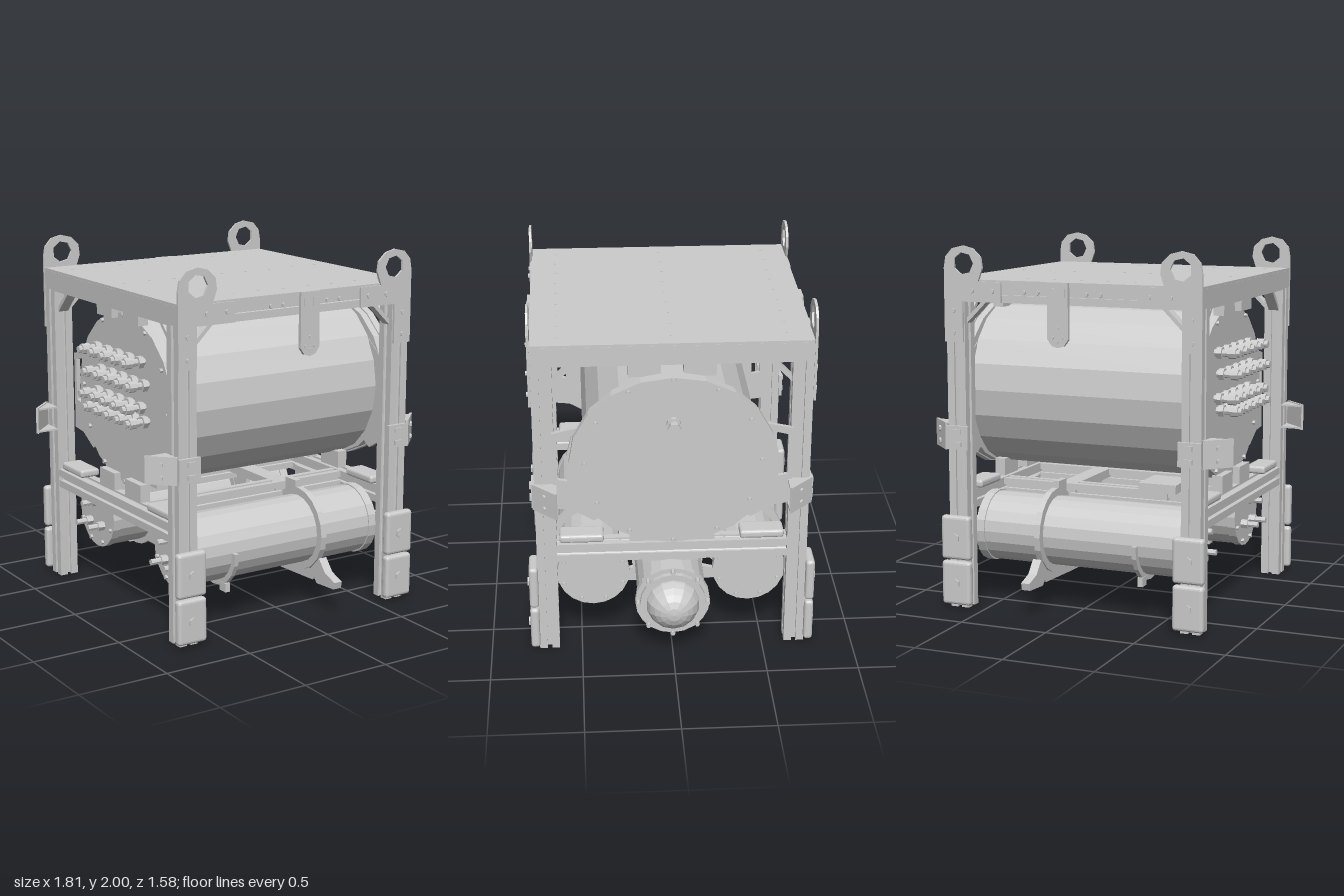
import * as THREE from 'three';
import { RoundedBoxGeometry } from 'three/addons/geometries/RoundedBoxGeometry.js';

const CX = -0.03; // middle of the frame in x
const mat = new THREE.MeshStandardMaterial({ color: 0xcccccc, flatShading: true, side: THREE.DoubleSide });

export function createModel() {
  const root = new THREE.Group();
  const add = (name, geo, x = 0, y = 0, z = 0) => {
    const m = new THREE.Mesh(geo, mat);
    m.name = name;
    m.position.set(x, y, z);
    root.add(m);
    return m;
  };
  const box = (name, w, h, d, x, y, z) => add(name, new THREE.BoxGeometry(w, h, d), x, y, z);
  // cylinder lying along x, between x0 and x1
  const rod = (name, r, x0, x1, y, z, n = 20) =>
    add(name, new THREE.CylinderGeometry(r, r, x1 - x0, n).rotateZ(-Math.PI / 2), (x0 + x1) / 2, y, z);
  // small bolt head pointing along z
  const boltZ = (x, y, z, r = 0.013) => add('bolt', new THREE.CylinderGeometry(r, r, 0.014, 6).rotateX(Math.PI / 2), x, y, z);
  const poly = pts => pts.map(p => new THREE.Vector2(p[0], p[1]));
  const circle = (x, y, r, n) => Array.from({ length: n }, (_, i) =>
    [x + r * Math.cos(i / n * 2 * Math.PI), y + r * Math.sin(i / n * 2 * Math.PI)]);
  const plate = (pts, depth, holes = []) => {
    const s = new THREE.Shape(poly(pts));
    holes.forEach(h => s.holes.push(new THREE.Path(poly(h))));
    return new THREE.ExtrudeGeometry(s, { depth, bevelEnabled: false }).translate(0, 0, -depth / 2);
  };
  // plate drawn in (z, y), standing across x
  const crossPlate = (...a) => plate(...a).rotateY(-Math.PI / 2);

  // slotted profile bar: square section with one undercut groove per side
  const bar = (length, size) => {
    const h = size / 2, pts = [];
    const side = [[-1, 1], [-0.22, 1], [-0.22, 0.8], [-0.5, 0.8], [-0.25, 0.45], [0.25, 0.45], [0.5, 0.8], [0.22, 0.8], [0.22, 1]];
    for (let k = 0; k < 4; k++) {
      const a = -k * Math.PI / 2, c = Math.cos(a), s = Math.sin(a);
      side.forEach(([x, y]) => pts.push([(x * c - y * s) * h, (x * s + y * c) * h]));
    }
    return plate(pts.reverse(), length);
  };

  // ---- frame ----
  box('topPlate', 1.47, 0.02, 1.48, CX, 1.81, 0);
  for (let i = 0; i < 9; i++) for (const z of [-0.6, 0, 0.6])
    add('topBolt', new THREE.CylinderGeometry(0.007, 0.007, 0.008, 6), -0.66 + i * 0.157, 1.818, z);

  const lift = [[0, 1.48], [0.11, 1.48], [0.11, 1.7], [0.34, 1.7], [0.34, 1.81], [0.205, 1.81],
    [0.23, 1.88], [0.222, 1.94], [0.175, 1.985], [0.115, 2], [0.05, 1.985], [0.01, 1.94], [0, 1.88]];

  for (const sx of [-1, 1]) {
    const legX = CX + sx * 0.68, outer = CX + sx * 0.74;
    for (const sz of [-1, 1]) {
      add('leg', bar(1.72, 0.11).rotateX(Math.PI / 2), legX, 0.86, sz * 0.68);

      // lifting eye plate, its hole towards the middle of the frame
      const px = p => [-sx * p[0], p[1]];
      add('liftingPlate', plate(lift.map(px), 0.014, [circle(0.117, 1.905, 0.06, 7).map(px)]), outer, 0, sz * 0.742);
      for (const [u, y] of [[0.055, 1.53], [0.055, 1.65], [0.17, 1.76], [0.29, 1.76]])
        boltZ(outer - sx * u, y, sz * 0.752);

      // corner braces below the top beams
      const brace = [[0.13, 1.71], [0.1, 1.71], [0, 1.61], [0, 1.58]];
      add('brace', plate(brace.map(px), 0.06), legX - sx * 0.055, 0, sz * 0.68);
      add('brace', crossPlate(brace.map(p => [-sz * p[0], p[1]]), 0.06), legX, 0, sz * 0.625);

      // rubber bumpers
      for (const y of [0.145, 0.4]) {
        add('bumper', new RoundedBoxGeometry(0.175, 0.245, 0.05, 2, 0.018), legX, y, sz * 0.757);
        boltZ(legX, y, sz * 0.785, 0.027);
      }

      // corner bracket with a slanting wing and two gussets
      box('cornerBracket', 0.13, 0.13, 0.02, legX - sx * 0.005, 0.955, sz * 0.742);
      const wing = box('bracketWing', 0.175, 0.15, 0.014, CX + sx * 0.805, 0.96, sz * 0.68);
      wing.rotation.y = sx * sz * Math.PI / 4;
      const gusset = [[0.74, 0.74], [0.865, 0.615], [0.74, 0.615]].map(([x, z]) => [sx * x, sz * z]);
      for (const y of [0.895, 1.025])
        add('bracketGusset', plate(gusset, 0.01).rotateX(Math.PI / 2), CX, y, 0);
      for (const y of [0.92, 0.99]) {
        box('bracketSlot', 0.045, 0.025, 0.012, legX - sx * 0.01, y, sz * 0.756);
        const b = boltZ(CX + sx * 0.815, y, sz * 0.685, 0.016);
        b.rotation.y = wing.rotation.y;
      }

      // tank side bracket with a cut-out
      const sideBracket = [[0.4, 1.44], [0.5, 1.36], [0.635, 1.33], [0.635, 0.89], [0.54, 0.88], [0.42, 0.81], [0.34, 0.86], [0.42, 1.18]];
      const cutOut = [[0.53, 1.315], [0.61, 1.295], [0.61, 1.06], [0.56, 1.05], [0.56, 1.2]];
      const pz = p => [sz * p[0], p[1]];
      add('tankBracket', crossPlate(sideBracket.map(pz), 0.025, [cutOut.map(pz)]), sx < 0 ? -0.63 : 0.71, 0, 0);

      // saddle tabs at the tank ends, above and below, and pads on the middle beam
      const tabX = sx < 0 ? -0.675 : 0.65;
      box('upperTab', 0.06, 0.09, 0.17, tabX, 1.67, sz * 0.145);
      box('lowerTab', 0.06, 0.1, 0.17, tabX, 0.7, sz * 0.145);
      add('beamPad', new RoundedBoxGeometry(0.12, 0.045, 0.24, 2, 0.015), legX - sx * 0.02, 0.675, sz * 0.49);
    }
    add('topSideBeam', bar(1.26, 0.105), legX, 1.752, 0);
    box('topSideSkirt', 0.012, 0.1, 1.47, CX + sx * 0.73, 1.757, 0);
    add('middleSideBeam', bar(1.26, 0.105), legX, 0.6, 0);
  }

  for (const sz of [-1, 1]) {
    add('topBeam', bar(1.26, 0.105).rotateY(Math.PI / 2), CX, 1.752, sz * 0.68);
    add('middleBeam', bar(1.26, 0.09).rotateY(Math.PI / 2), CX, 0.605, sz * 0.24);
    // hanging strap with rounded lower end
    const strap = [[-0.06, 1.82], [-0.06, 1.52], [-0.035, 1.485], [0, 1.475], [0.035, 1.485], [0.06, 1.52], [0.06, 1.82]];
    add('strap', plate(strap, 0.02), 0.035, 0, sz * 0.745);
    for (const [x, y] of [[0, 1.58], [-0.03, 1.53], [0.03, 1.53], [0, 1.51]]) boltZ(0.035 + x, y, sz * 0.754, 0.009);
    for (const x of [-0.03, 0.03]) box('strapSlot', 0.025, 0.045, 0.012, 0.035 + x, 1.765, sz * 0.754);
    for (const x of [-0.2, -0.12, 0.16, 0.24]) boltZ(x, 1.76, sz * 0.736);
  }

  // ---- main tank ----
  const TY = 1.18;
  rod('tankBody', 0.472, -0.62, 0.72, TY, 0, 20);
  rod('tankRearCap', 0.48, -0.665, -0.6, TY, 0, 20).scale.z = 1.08;
  rod('tankFrontRim', 0.475, 0.7, 0.74, TY, 0, 20).scale.z = 1.14;
  rod('tankFrontCap', 0.482, 0.74, 0.782, TY, 0, 20).scale.z = 1.14;
  for (let i = 0; i < 12; i++) {
    const a = i * Math.PI / 6, y = TY + 0.467 * Math.cos(a), z = 0.467 * Math.sin(a);
    rod('capBolt', 0.013, 0.775, 0.798, y, z, 6);
    rod('capBolt', 0.013, -0.68, -0.66, y, z, 6);
  }
  rod('port', 0.028, 0.78, 0.86, 1.405, 0, 10);
  rod('portCollar', 0.038, 0.78, 0.815, 1.405, 0, 10);
  rod('portTip', 0.036, 0.84, 0.87, 1.405, 0, 6);
  // plug rows on the rear cap
  [1.43, 1.31, 1.18, 1.11].forEach((y, r) => {
    for (let i = 0; i < 5; i++) {
      const z = -0.24 + i * 0.12 + (r % 2 ? 0.02 : -0.02);
      rod('plug', 0.02, -0.81, -0.66, y, z, 8);
      rod('plugNut', 0.035, -0.71, -0.68, y, z, 6);
      rod('plugCollar', 0.03, -0.79, -0.745, y, z, 8);
    }
  });
  // block and cross bars below the tank
  box('lowerBlock', 0.22, 0.05, 0.24, -0.365, 0.675, -0.22);
  box('lowerBlockBase', 0.18, 0.05, 0.2, -0.32, 0.63, -0.2);
  box('lowerCrossBar', 0.1, 0.05, 0.56, 0.2, 0.625, 0);

  // ---- lower side tubes ----
  const SY = 0.415, SZ = 0.43;
  for (const sz of [-1, 1]) {
    const z = sz * SZ;
    rod('sideTube', 0.193, -0.59, 0.58, SY, z);
    rod('sideTubeCap', 0.2, -0.62, -0.575, SY, z);
    rod('sideTubeCap', 0.2, 0.55, 0.6, SY, z);
    for (let i = 0; i < 8; i++) {
      const a = (i + 0.5) * Math.PI / 4, dy = 0.175 * Math.cos(a), dz = 0.175 * Math.sin(a);
      rod('tubeBolt', 0.012, 0.59, 0.615, SY + dy, z + dz, 6);
      rod('tubeBolt', 0.012, -0.635, -0.61, SY + dy, z + dz, 6);
    }
    for (const [dy, dz] of [[0.07, 0], [-0.06, 0.07], [-0.06, -0.07]]) {
      rod('tubePlug', 0.017, -0.72, -0.62, SY + dy, z + dz, 8);
      rod('tubePlugNut', 0.027, -0.66, -0.62, SY + dy, z + dz, 6);
    }
    // clamp ring with foot and lug, and the thin lower cradle further along
    add('clampRing', crossPlate(circle(z, SY, 0.235, 20), 0.035, [circle(z, SY, 0.19, 20)]), 0.21);
    const foot = [[0.56, 0.21], [0.62, 0.14], [0.78, 0.15], [0.79, 0.19], [0.7, 0.22], [0.64, 0.29]];
    add('clampFoot', crossPlate(foot.map(p => [sz * p[0], p[1]]), 0.05), 0.22);
    box('clampLug', 0.035, 0.08, 0.1, 0.21, 0.645, sz * 0.36);
    const arc = (r, back) => Array.from({ length: 11 }, (_, i) => {
      const a = Math.PI + (back ? 10 - i : i) / 10 * Math.PI;
      return [z + r * Math.cos(a), SY + r * Math.sin(a)];
    });
    add('cradle', crossPlate([...arc(0.225), ...arc(0.185, true)], 0.025), -0.355);
    box('cradleTab', 0.03, 0.05, 0.06, -0.355, 0.2, sz * 0.53);
    // yoke arms joining the side and middle clamps
    const lower = [[0.08, 0.13], [0.24, 0.135], [0.58, 0.15], [0.63, 0.2], [0.6, 0.23], [0.5, 0.19], [0.3, 0.19], [0.19, 0.22]];
    add('yokeArm', crossPlate(lower.map(p => [sz * p[0], p[1]]), 0.03), 0.21);
    const upper = [[0.1, 0.47], [0.2, 0.44], [0.27, 0.54], [0.33, 0.6], [0.1, 0.6]];
    add('hanger', crossPlate(upper.map(p => [sz * p[0], p[1]]), 0.03), 0.21);
  }
  // plate joining the two cradles
  add('cradleLink', crossPlate([[-0.32, 0.24], [0.32, 0.24], [0.23, 0.42], [0.1, 0.32], [-0.1, 0.32], [-0.23, 0.42]], 0.025), -0.355);

  // ---- middle tube with dome ----
  const MY = 0.31;
  rod('middleTube', 0.19, 0.2, 0.75, MY, 0);
  rod('middleTubeBack', 0.2, 0.19, 0.24, MY, 0);
  rod('middleFlange', 0.205, 0.71, 0.75, MY, 0);
  rod('domeRing', 0.18, 0.75, 0.78, MY, 0);
  add('middleClamp', crossPlate(circle(0, MY, 0.21, 20), 0.03, [circle(0, MY, 0.185, 20)]), 0.23);
  box('middleHanger', 0.04, 0.1, 0.3, 0.6, 0.54, 0);
  for (let i = 0; i < 8; i++) {
    const a = i * Math.PI / 4;
    rod('flangeBolt', 0.013, 0.745, 0.79, MY + 0.19 * Math.cos(a), 0.19 * Math.sin(a), 6);
  }
  const dome = new THREE.SphereGeometry(0.15, 14, 6, 0, Math.PI * 2, 0, Math.PI / 2).rotateZ(-Math.PI / 2);
  add('dome', dome, 0.755, MY, 0);

  return root;
}
